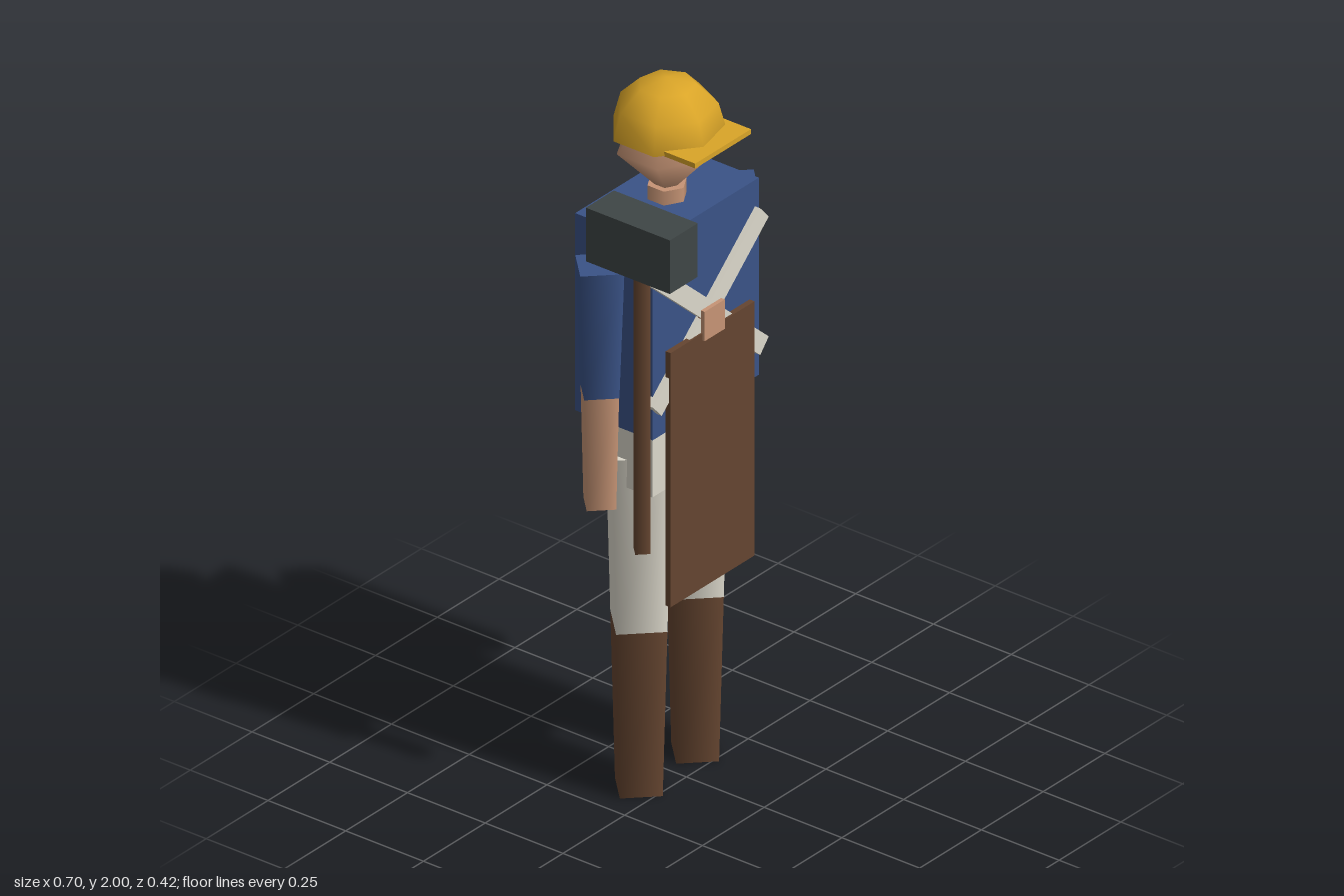
import * as THREE from 'three';

export function createModel() {
  const model = new THREE.Group();
  model.name = 'worker';

  const mat = (name, color) => {
    const m = new THREE.MeshStandardMaterial({ color });
    m.name = name;
    return m;
  };
  const blue = mat('shirt blue', 0x3a5387);
  const cream = mat('trouser cream', 0xdcd8cb);
  const brown = mat('leather brown', 0x654530);
  const skin = mat('skin', 0xc69475);
  const gold = mat('helmet yellow', 0xdaa528);
  const iron = mat('dark iron', 0x3f4646);

  const Z = -0.0625; // depth of the body axis

  const add = (name, geometry, material, x, y, z) => {
    const mesh = new THREE.Mesh(geometry, material);
    mesh.name = name;
    mesh.position.set(x, y, z);
    model.add(mesh);
    return mesh;
  };
  // Box given by its extents
  const box = (name, material, x0, x1, y0, y1, z0, z1) =>
    add(name, new THREE.BoxGeometry(x1 - x0, y1 - y0, z1 - z0), material,
      (x0 + x1) / 2, (y0 + y1) / 2, (z0 + z1) / 2);
  // Tapered upright post between two heights
  const post = (name, material, x, z, y0, y1, r0, r1, sides = 4) =>
    add(name, new THREE.CylinderGeometry(r1, r0, y1 - y0, sides), material, x, (y0 + y1) / 2, z);

  // Trunk
  box('torso', blue, -0.215, 0.215, 1.09, 1.66, -0.187, 0.062);
  box('hips', cream, -0.195, 0.195, 0.91, 1.1, -0.17, 0.045);

  // Limbs
  for (const [side, s] of [['left', 1], ['right', -1]]) {
    post(side + 'Boot', brown, s * 0.114, Z, 0, 0.48, 0.077, 0.092);
    post(side + 'Thigh', cream, s * 0.114, Z, 0.48, 0.99, 0.092, 0.108);
    post(side + 'Sleeve', blue, s * 0.272, Z, 1.215, 1.58, 0.063, 0.079);
    post(side + 'Forearm', skin, s * 0.272, Z, 0.89, 1.215, 0.053, 0.062);
  }

  // Neck and faceted head
  post('neck', skin, 0, Z, 1.63, 1.7, 0.053, 0.053, 6);
  const headGeo = new THREE.SphereGeometry(0.135, 6, 2);
  headGeo.rotateY(Math.PI / 2);
  headGeo.scale(0.135 * 0.9 / (0.135 * 0.866), 1.08, 0.97);
  add('head', headGeo, skin, 0, 1.81, Z);

  // Helmet dome, closed underneath, with a front peak
  const dome = new THREE.SphereGeometry(0.15, 7, 3, 0, Math.PI * 2, 0, Math.PI / 2);
  add('helmetDome', dome.rotateY(Math.PI), gold, 0, 1.853, Z);
  add('helmetUnderside', new THREE.CircleGeometry(0.15, 7).rotateX(Math.PI / 2), gold, 0, 1.853, Z);
  box('helmetPeak', gold, -0.113, 0.113, 1.851, 1.865, 0.005, 0.118);

  // Crossed straps on the chest
  for (const s of [1, -1]) {
    const strap = add(s > 0 ? 'strapLeft' : 'strapRight',
      new THREE.BoxGeometry(0.58, 0.052, 0.023), cream, 0, 1.372, 0.0675);
    strap.rotation.z = s * 0.727;
  }

  // Apron hanging from a buckle
  box('apron', brown, -0.17, 0.17, 0.595, 1.33, 0.068, 0.084);
  box('buckle', skin, -0.041, 0.041, 1.31, 1.395, 0.07, 0.091);

  // Sledgehammer
  post('hammerHandle', brown, -0.272, 0.073, 0.8, 1.62, 0.027, 0.027);
  box('hammerHead', iron, -0.329, -0.216, 1.615, 1.77, -0.062, 0.208);

  return model;
}
